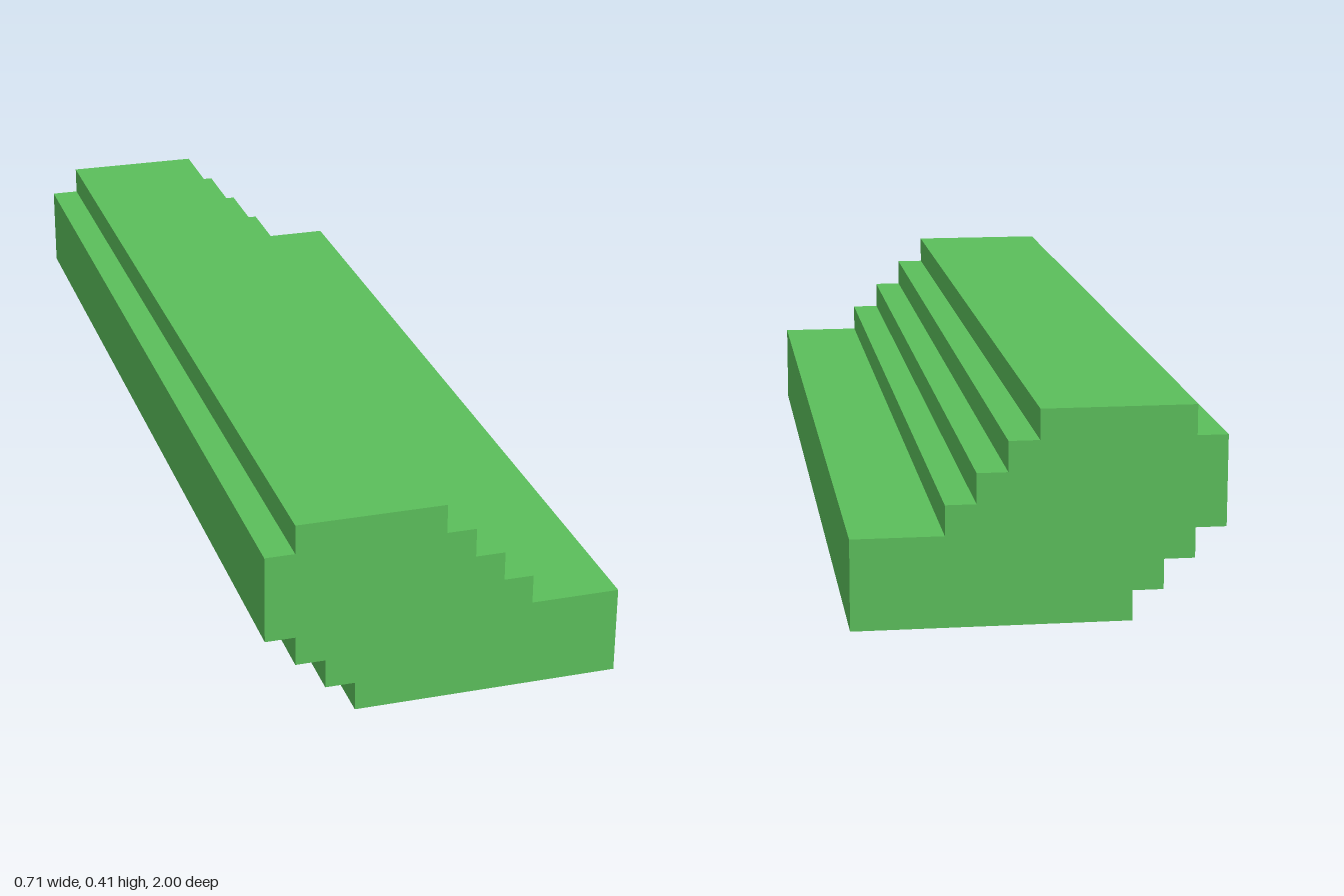
import * as THREE from 'three';

const UNIT = 2 / 34; // one stair step
const LENGTH = 2;

export function createModel() {
  const group = new THREE.Group();
  group.name = 'steppedBar';

  // Stepped cross-section, in step units, counter-clockwise from the base
  const profile = [[-3, 0], [6, 0], [6, 3]];
  // Staircase rising toward the top on the +x side
  for (let i = 0; i < 4; i++) profile.push([3 - i, 3 + i], [3 - i, 4 + i]);
  // Flat top and single shoulder on the -x side
  profile.push([-5, 7], [-5, 6], [-6, 6]);
  // Undercut steps descending back to the base
  for (let i = 0; i < 3; i++) profile.push([-6 + i, 3 - i], [-5 + i, 3 - i]);
  profile.push([-3, 1]);
  const points = profile
    .filter(([x, y], i) => i === 0 || x !== profile[i - 1][0] || y !== profile[i - 1][1])
    .map(([x, y]) => new THREE.Vector2(x * UNIT, y * UNIT));

  // Solid bar extruded along z
  const geometry = new THREE.ExtrudeGeometry(new THREE.Shape(points), {
    depth: LENGTH,
    bevelEnabled: false,
  });
  geometry.translate(0, 0, -LENGTH / 2);

  const bar = new THREE.Mesh(geometry, new THREE.MeshStandardMaterial({ color: 0x5bbf5b }));
  bar.name = 'steppedBody';
  group.add(bar);
  return group;
}
